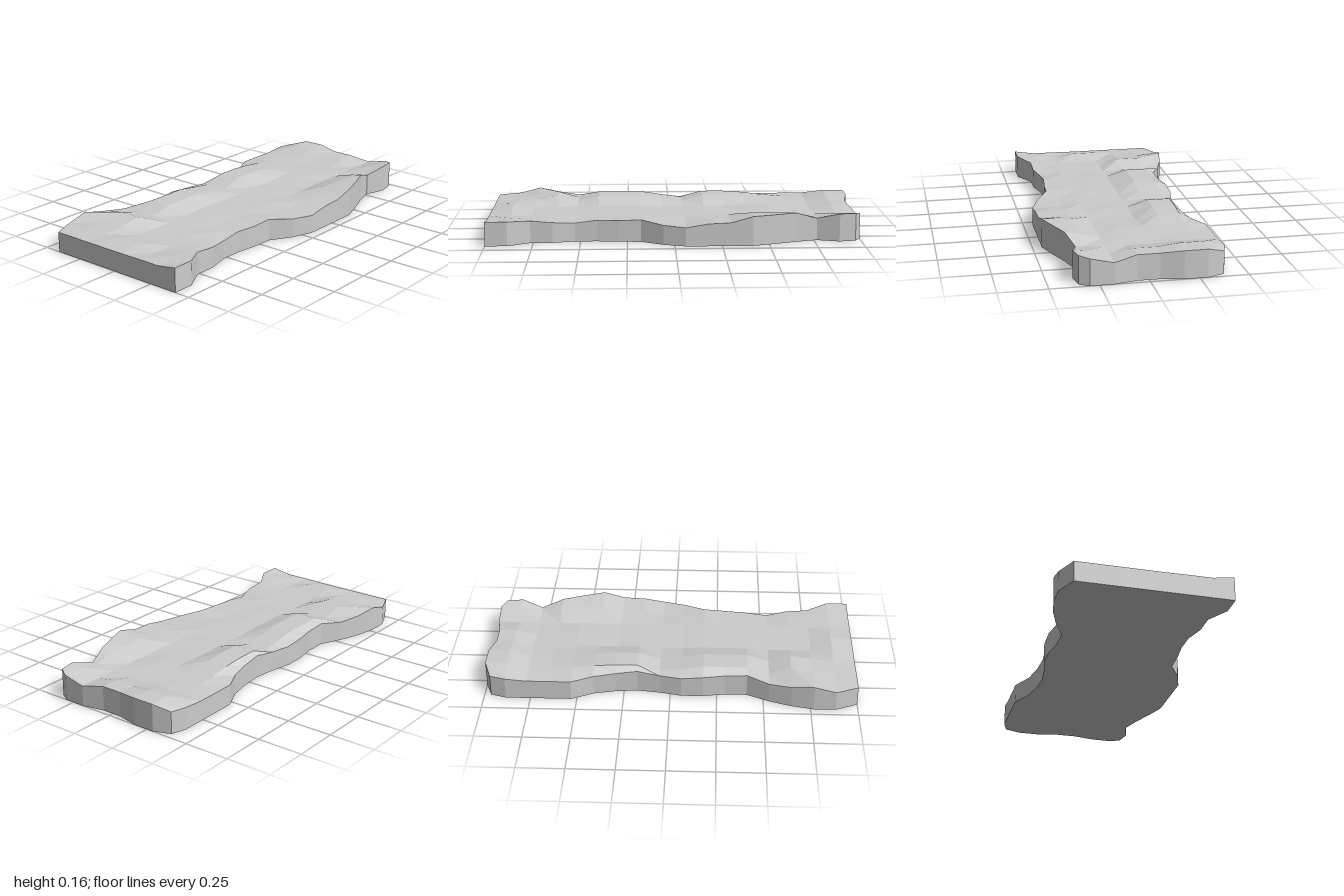
import * as THREE from 'three';

// Outline and surface heights of each cross-section, from back (z = -1) to front (z = 1)
const leftX = [-0.38, -0.405, -0.405, -0.405, -0.405, -0.35, -0.325, -0.315, -0.33,
  -0.355, -0.355, -0.335, -0.335, -0.39, -0.43, -0.455, -0.455, -0.405];
const rightX = [0.35, 0.365, 0.33, 0.365, 0.41, 0.45, 0.45, 0.45, 0.45,
  0.41, 0.34, 0.335, 0.32, 0.32, 0.35, 0.35, 0.415, 0.415];
const leftY = [0.12, 0.12, 0.11, 0.11, 0.11, 0.11, 0.115, 0.125, 0.11,
  0.11, 0.12, 0.12, 0.125, 0.11, 0.12, 0.14, 0.11, 0.11];
const ridgeY = [0.148, 0.148, 0.115, 0.115, 0.125, 0.14, 0.148, 0.148, 0.115,
  0.13, 0.148, 0.148, 0.148, 0.115, 0.148, 0.13, 0.12, 0.11];
const middleY = [0.135, 0.135, 0.11, 0.115, 0.12, 0.115, 0.11, 0.115, 0.11,
  0.11, 0.115, 0.115, 0.115, 0.11, 0.11, 0.11, 0.13, 0.11];
const rightY = [0.15, 0.15, 0.12, 0.158, 0.158, 0.158, 0.125, 0.12, 0.10,
  0.105, 0.12, 0.115, 0.115, 0.10, 0.11, 0.12, 0.13, 0.13];

// Inner grid columns and the scalloped back edge
const innerX = [-0.29, -0.17, -0.055, 0.06, 0.18, 0.3];
const backZ = [-0.965, -1, -1, -0.975, -0.975, -1, -1, -0.97];
const ROWS = leftX.length, COLS = innerX.length + 2;

function surfacePoint(i, j) {
  const x = j === 0 ? leftX[i] : j === COLS - 1 ? rightX[i] : innerX[j - 1];
  const z = i === 0 ? backZ[j] : -1 + (2 * i) / (ROWS - 1);
  const valley = 0.112;
  const shoulder = THREE.MathUtils.lerp(valley, rightY[i], i === ROWS - 1 ? 0 : 0.75);
  const y = [leftY[i], ridgeY[i], ridgeY[i], middleY[i], middleY[i], valley, shoulder, rightY[i]][j];
  return [x, y, z];
}

function slabGeometry() {
  const positions = [], indices = [];
  const top = (i, j) => i * COLS + j;
  const under = ROWS * COLS;

  // Upper surface points, then the same points dropped to the ground
  for (const layer of [1, 0]) {
    for (let i = 0; i < ROWS; i++) {
      for (let j = 0; j < COLS; j++) {
        const [x, y, z] = surfacePoint(i, j);
        positions.push(x, y * layer, z);
      }
    }
  }

  // Top and underside
  for (let i = 0; i < ROWS - 1; i++) {
    for (let j = 0; j < COLS - 1; j++) {
      const a = top(i, j), b = top(i, j + 1), c = top(i + 1, j), d = top(i + 1, j + 1);
      indices.push(a, c, b, b, c, d);
      indices.push(a + under, b + under, c + under, b + under, d + under, c + under);
    }
  }

  // Side walls around the rim: left, front, right, back
  const rim = [];
  for (let i = 0; i < ROWS - 1; i++) rim.push(top(i, 0));
  for (let j = 0; j < COLS - 1; j++) rim.push(top(ROWS - 1, j));
  for (let i = ROWS - 1; i > 0; i--) rim.push(top(i, COLS - 1));
  for (let j = COLS - 1; j > 0; j--) rim.push(top(0, j));
  rim.forEach((a, k) => {
    const b = rim[(k + 1) % rim.length];
    indices.push(a + under, b + under, b, a + under, b, a);
  });

  const geometry = new THREE.BufferGeometry();
  geometry.setAttribute('position', new THREE.Float32BufferAttribute(positions, 3));
  geometry.setIndex(indices);
  const flat = geometry.toNonIndexed();
  flat.computeVertexNormals();
  return flat;
}

export function createModel() {
  const group = new THREE.Group();
  group.name = 'groundSlab';
  const material = new THREE.MeshStandardMaterial({ color: 0xcccccc, flatShading: true });
  const slab = new THREE.Mesh(slabGeometry(), material);
  slab.name = 'unevenSlab';
  group.add(slab);
  return group;
}
